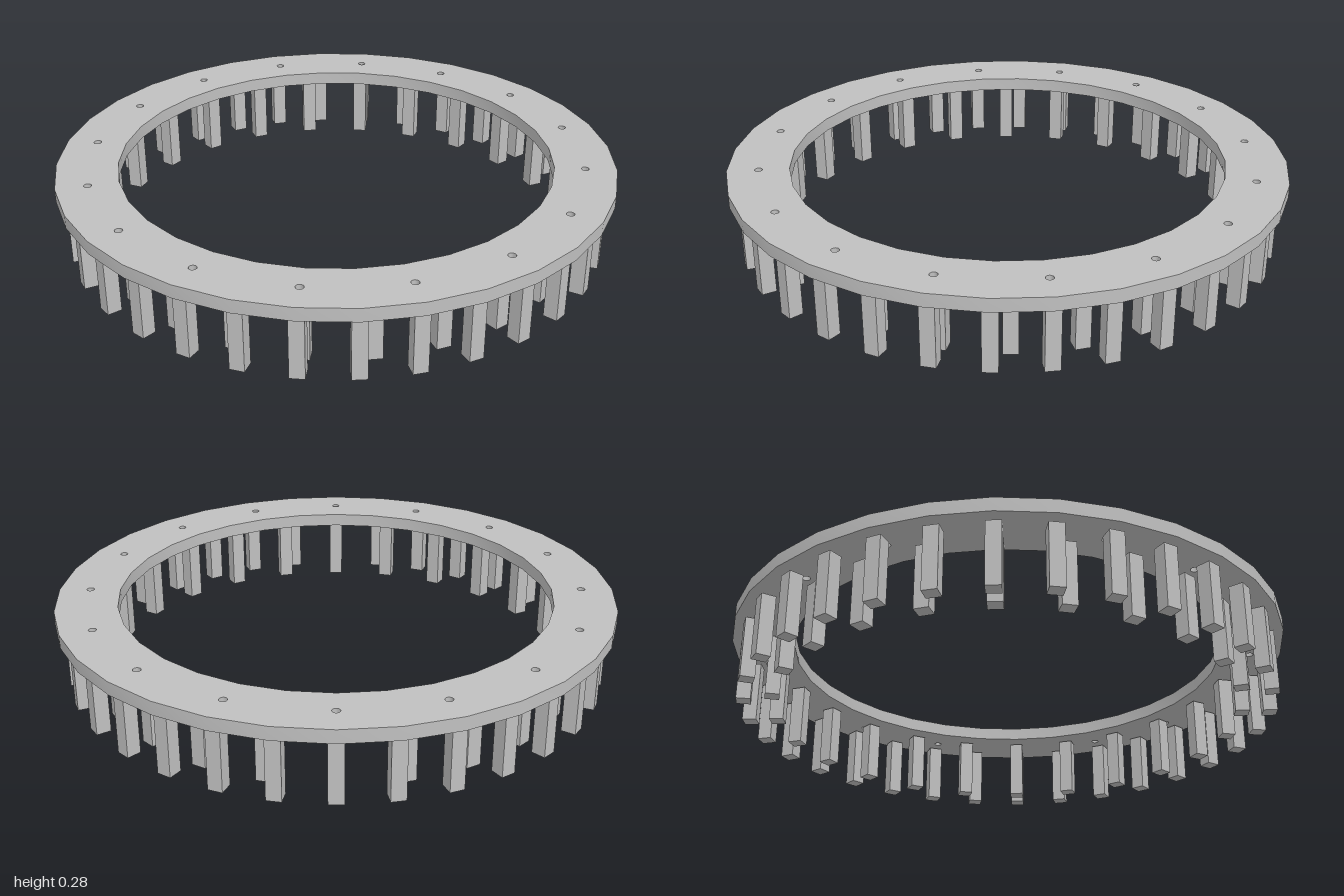
import * as THREE from 'three';
import { toCreasedNormals } from 'three/addons/utils/BufferGeometryUtils.js';

const TOP = 0.28, RING_BOTTOM = 0.232, POST_HEIGHT = 0.222, POST_SIDE = 0.051;

// Closed polygon points around a centre
function circlePoints(radius, sides, cx = 0, cy = 0) {
  return Array.from({ length: sides }, (_, i) => {
    const a = (i / sides) * Math.PI * 2;
    return new THREE.Vector2(cx + radius * Math.cos(a), cy + radius * Math.sin(a));
  });
}

export function createModel() {
  const model = new THREE.Group();
  model.name = 'ringOnPosts';
  const grey = new THREE.MeshStandardMaterial({ color: 0xc0c0c0 });
  grey.name = 'lightGrey';

  // Flat ring plate with sixteen screw holes
  const shape = new THREE.Shape(circlePoints(1, 32));
  shape.holes.push(new THREE.Path(circlePoints(0.78, 32)));
  for (const p of circlePoints(0.888, 16)) {
    shape.holes.push(new THREE.Path(circlePoints(0.014, 12, p.x, p.y)));
  }
  const plate = new THREE.ExtrudeGeometry(shape, { depth: TOP - RING_BOTTOM, bevelEnabled: false });
  plate.rotateX(-Math.PI / 2);
  plate.translate(0, RING_BOTTOM, 0);
  const ring = new THREE.Mesh(toCreasedNormals(plate, Math.PI / 5), grey);
  ring.name = 'ringPlate';
  model.add(ring);

  // Two circles of square posts, just below the plate
  const postGeometry = new THREE.BoxGeometry(POST_SIDE, POST_HEIGHT, POST_SIDE);
  function addPosts(name, count, radius) {
    const group = new THREE.Group();
    group.name = name + 's';
    for (let i = 0; i < count; i++) {
      const a = (i / count) * Math.PI * 2;
      const post = new THREE.Mesh(postGeometry, grey);
      post.name = name;
      post.position.set(radius * Math.sin(a), POST_HEIGHT / 2, radius * Math.cos(a));
      post.rotation.y = a;
      group.add(post);
    }
    model.add(group);
  }
  addPosts('outerPost', 32, 0.941);
  addPosts('innerPost', 24, 0.842);

  return model;
}
